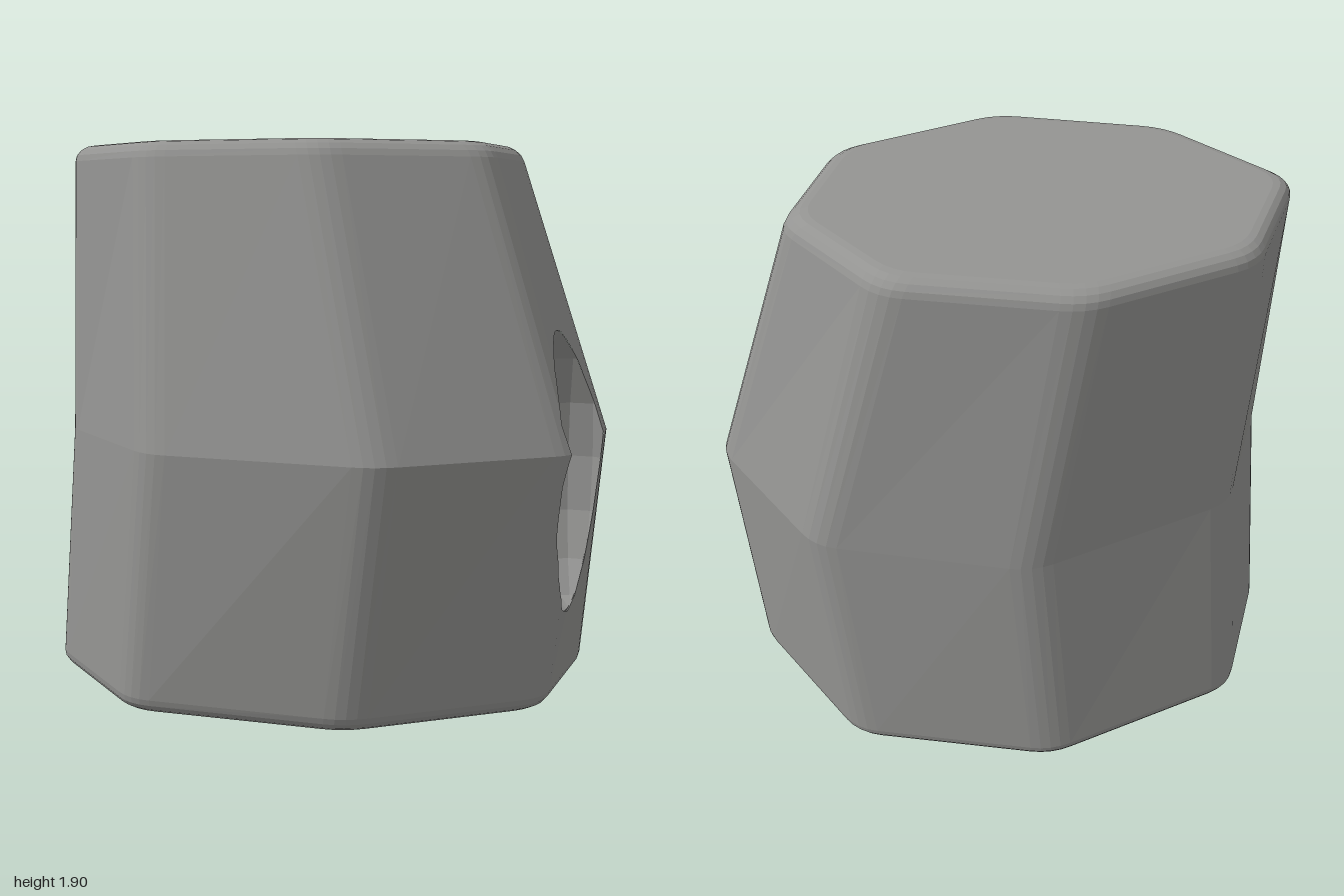
import * as THREE from 'three';

// Corner outlines [x, z] at three heights, running clockwise seen from above
const BASE = [[-1.01, 0], [-0.81, -0.53], [-0.12, -0.8], [0.57, -0.66], [0.94, -0.13], [0.75, 0.41], [0.1, 0.67], [-0.64, 0.52]];
const WAIST = [[-0.93, 0.06], [-0.73, -0.47], [-0.04, -0.755], [0.66, -0.59], [1.01, -0.07], [0.83, 0.52], [0.2, 0.8], [-0.55, 0.6]];
const TOP = [[-0.93, -0.04], [-0.72, -0.49], [-0.19, -0.7], [0.39, -0.58], [0.69, -0.19], [0.54, 0.27], [0, 0.5], [-0.58, 0.36]];
const HEIGHT = 1.9, WAIST_Y = 0.9, RIM = 0.055, FILLET = 0.075;

const mix = (a, b, t) => [a[0] + (b[0] - a[0]) * t, a[1] + (b[1] - a[1]) * t];

function outwardNormal(p, q) {
  const dx = q[0] - p[0], dz = q[1] - p[1], l = Math.hypot(dx, dz) || 1;
  return [dz / l, -dx / l];
}

// Outline at any height, drawn in at both rims and with rounded corners
function outline(y) {
  const upper = y > WAIST_Y;
  const t = upper ? (y - WAIST_Y) / (HEIGHT - WAIST_Y) : y / WAIST_Y;
  const edge = Math.max(0, RIM - Math.max(0, Math.min(y, HEIGHT - y)));
  const inset = RIM - Math.sqrt(RIM * RIM - edge * edge);
  const n = BASE.length;
  const ring = BASE.map((_, i) => upper ? mix(WAIST[i], TOP[i], t) : mix(BASE[i], WAIST[i], t));
  const moved = ring.map((p, i) => {
    const a = outwardNormal(ring[(i + n - 1) % n], p), b = outwardNormal(p, ring[(i + 1) % n]);
    const k = inset / (1 + a[0] * b[0] + a[1] * b[1]);
    return [p[0] - k * (a[0] + b[0]), p[1] - k * (a[1] + b[1])];
  });
  const toward = (p, q) => mix(p, q, FILLET / Math.hypot(q[0] - p[0], q[1] - p[1]));
  return moved.flatMap((p, i) => {
    const a = toward(p, moved[(i + n - 1) % n]), b = toward(p, moved[(i + 1) % n]);
    return [0, 0.25, 0.5, 0.75, 1].map(s => mix(mix(a, p, s), mix(p, b, s), s));
  });
}

// Signed distance to the body outline at the point's height, negative inside
function bodyDistance(v) {
  const pts = outline(v.y);
  let d = -Infinity;
  pts.forEach((p, i) => {
    const n = outwardNormal(p, pts[(i + 1) % pts.length]);
    d = Math.max(d, n[0] * (v.x - p[0]) + n[1] * (v.z - p[1]));
  });
  return d;
}

// Lofted body: stacked outlines closed with a cap at each end
function bodyTriangles() {
  const arc = [0, 1, 2, 3, 4].map(i => RIM * (1 - Math.cos(i * Math.PI / 8)));
  const levels = [...arc, WAIST_Y, ...arc.map(y => HEIGHT - y).reverse()];
  const rings = levels.map(y => outline(y).map(p => new THREE.Vector3(p[0], y, p[1])));
  const n = rings[0].length, tris = [];
  for (let k = 0; k + 1 < rings.length; k++) {
    for (let i = 0; i < n; i++) {
      const j = (i + 1) % n, lo = rings[k], hi = rings[k + 1];
      tris.push([lo[j], lo[i], hi[i]], [lo[j], hi[i], hi[j]]);
    }
  }
  const bottom = rings[0], top = rings[rings.length - 1];
  for (let i = 1; i + 1 < n; i++) {
    tris.push([bottom[0], bottom[i], bottom[i + 1]], [top[0], top[i + 1], top[i]]);
  }
  return tris;
}

// Faceted ellipsoid that forms the scooped hollow
function hollowTriangles() {
  const g = new THREE.SphereGeometry(1, 16, 8).scale(0.22, 0.505, 0.272).translate(0.86, 0.805, 0.26).toNonIndexed();
  const p = g.attributes.position, tris = [];
  for (let i = 0; i < p.count; i += 3) {
    tris.push([0, 1, 2].map(k => new THREE.Vector3().fromBufferAttribute(p, i + k)));
  }
  return tris;
}

// Halve the longest edge until every piece near the box is small
function refine(tri, box, size, out) {
  const lengths = tri.map((v, i) => v.distanceTo(tri[(i + 1) % 3]));
  const longest = Math.max(...lengths);
  if (longest < size || !new THREE.Box3().setFromPoints(tri).intersectsBox(box)) {
    out.push(tri);
    return;
  }
  const i = lengths.indexOf(longest);
  const a = tri[i], b = tri[(i + 1) % 3], c = tri[(i + 2) % 3];
  const m = a.clone().lerp(b, 0.5);
  refine([a, m, c], box, size, out);
  refine([m, b, c], box, size, out);
}

// Keep the part of each triangle where the distance is negative
function clip(tris, distance) {
  const out = [];
  for (const tri of tris) {
    const d = tri.map(distance), poly = [];
    for (let i = 0; i < 3; i++) {
      const j = (i + 1) % 3;
      if (d[i] <= 0) poly.push(tri[i]);
      if ((d[i] <= 0) !== (d[j] <= 0)) poly.push(tri[i].clone().lerp(tri[j], d[i] / (d[i] - d[j])));
    }
    for (let i = 1; i + 1 < poly.length; i++) out.push([poly[0], poly[i], poly[i + 1]]);
  }
  return out;
}

function toMesh(name, tris, material) {
  const g = new THREE.BufferGeometry().setFromPoints(tris.flat());
  g.computeVertexNormals();
  const mesh = new THREE.Mesh(g, material);
  mesh.name = name;
  return mesh;
}

export function createModel() {
  const stone = new THREE.MeshStandardMaterial({ color: 0x949492 });
  stone.name = 'stone grey';

  const hollow = hollowTriangles();
  const box = new THREE.Box3().setFromPoints(hollow.flat());
  const planes = hollow.map(t => new THREE.Plane().setFromCoplanarPoints(...t));
  const hollowDistance = v => box.containsPoint(v) ? Math.max(...planes.map(p => p.distanceToPoint(v))) : 0.05;

  // Body with the hollow cut out of its side
  const bodyPieces = [];
  bodyTriangles().forEach(t => refine(t, box, 0.06, bodyPieces));
  const body = clip(bodyPieces, v => -hollowDistance(v));

  // Inner wall of the hollow, turned to face outward through the opening
  const wallPieces = [];
  hollow.forEach(([a, b, c]) => refine([a, c, b], box, 0.05, wallPieces));
  const wall = clip(wallPieces, bodyDistance);

  const group = new THREE.Group();
  group.name = 'stone';
  group.add(toMesh('stoneBody', body, stone), toMesh('scoopedHollow', wall, stone));
  return group;
}
